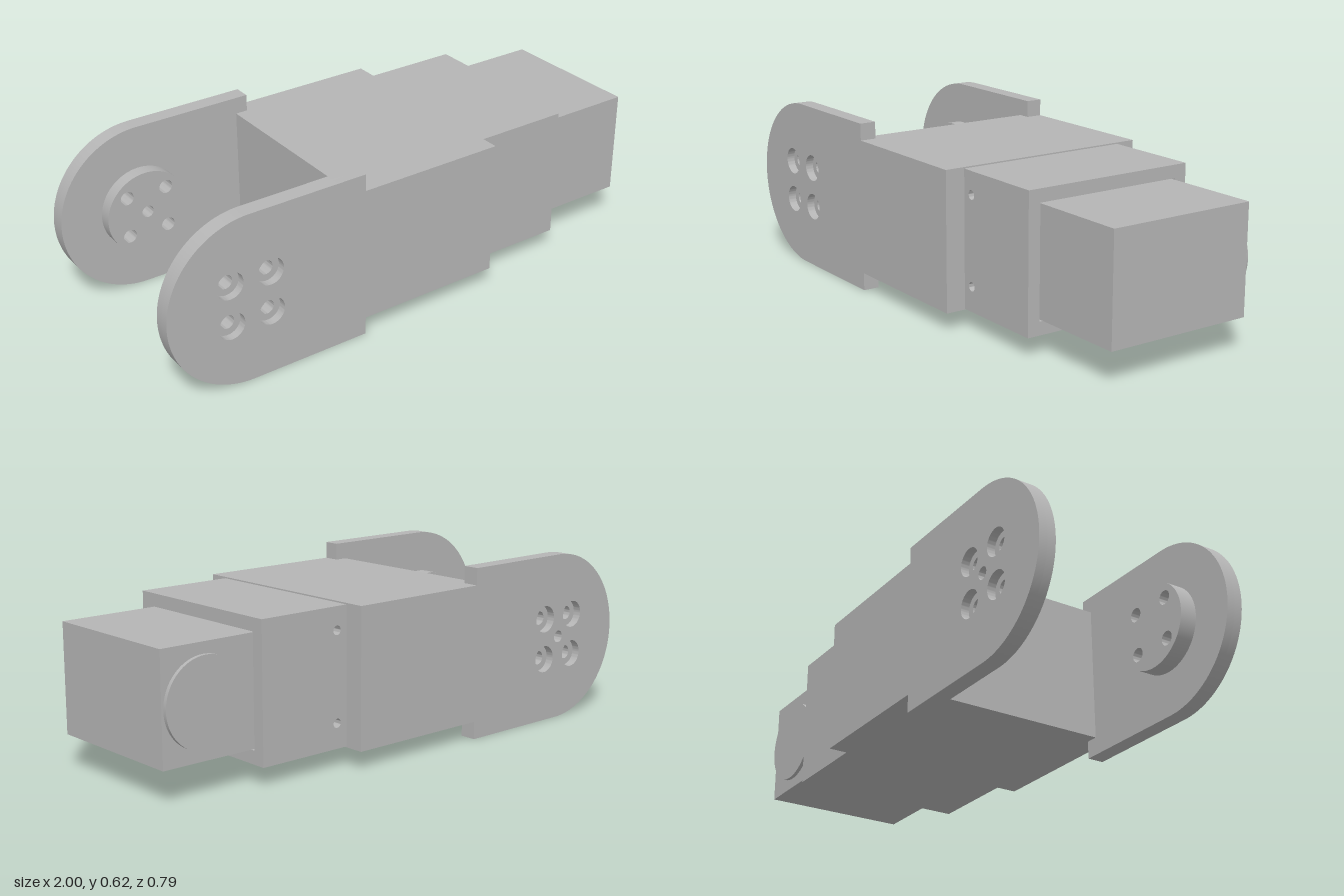
import * as THREE from 'three';
import { toCreasedNormals } from 'three/addons/utils/BufferGeometryUtils.js';

const CY = 0.308;           // shared mid height
const PIVOT_X = -0.695;     // hinge axis
const BOLTS = [[-0.075, -0.075], [0.075, -0.075], [0.075, 0.075], [-0.075, 0.075]]
  .map(([x, y]) => [PIVOT_X + x, CY + y]);

export function createModel() {
  const model = new THREE.Group();
  model.name = 'servoBracket';
  const grey = new THREE.MeshStandardMaterial({ color: 0xb5b5b5 });
  grey.name = 'grey';

  const add = (name, geometry) => {
    const mesh = new THREE.Mesh(geometry, grey);
    mesh.name = name;
    model.add(mesh);
    return mesh;
  };

  // Box given by its limits on each axis
  const box = (name, x0, x1, y0, y1, z0, z1) =>
    add(name, new THREE.BoxGeometry(x1 - x0, y1 - y0, z1 - z0))
      .position.set((x0 + x1) / 2, (y0 + y1) / 2, (z0 + z1) / 2);

  // Outline with round holes [x, y, r], extruded between two depths
  const slab = (name, shape, holes, za, zb) => {
    for (const [x, y, r] of holes) {
      shape.holes.push(new THREE.Path().absarc(x, y, r, 0, Math.PI * 2, true));
    }
    const z0 = Math.min(za, zb);
    const geometry = new THREE.ExtrudeGeometry(shape, {
      depth: Math.abs(zb - za), bevelEnabled: false, curveSegments: 40,
    });
    geometry.translate(0, 0, z0);
    add(name, toCreasedNormals(geometry, 0.6));
  };

  // Side outline: rounded fork arm stepping down to the body height
  const sideShape = () => {
    const s = new THREE.Shape();
    s.moveTo(0.295, 0.064);
    s.lineTo(0.295, 0.555);
    s.lineTo(-0.25, 0.555);
    s.lineTo(-0.25, 0.616);
    s.absarc(-0.692, CY, 0.308, Math.PI / 2, Math.PI * 1.5, false);
    s.lineTo(-0.25, 0);
    s.lineTo(-0.25, 0.064);
    s.closePath();
    return s;
  };

  const discShape = () => new THREE.Shape().absarc(PIVOT_X, CY, 0.153, 0, Math.PI * 2, false);

  const wallShape = () => {
    const s = new THREE.Shape();
    s.moveTo(0.295, 0.067);
    s.lineTo(0.65, 0.067);
    s.lineTo(0.65, 0.55);
    s.lineTo(0.295, 0.55);
    s.closePath();
    return s;
  };

  for (const side of [1, -1]) {
    const label = side > 0 ? 'front' : 'back';
    // Only the back arm has a centre hole
    const centre = side < 0 ? [[PIVOT_X, CY, 0.022]] : [];
    const wide = BOLTS.map(([x, y]) => [x, y, 0.049]).concat(centre);
    const narrow = BOLTS.map(([x, y]) => [x, y, 0.025]).concat(centre);

    // Fork arm in two layers, giving counterbored bolt holes
    slab(label + 'ArmOuter', sideShape(), wide, side * 0.396, side * 0.366);
    slab(label + 'ArmInner', sideShape(), narrow, side * 0.366, side * 0.336);

    // Hinge boss on the inner face
    slab(label + 'HingeBoss', discShape(), narrow, side * 0.336, side > 0 ? 0.273 : -0.287);

    // Sleeve side wall with two pin holes
    slab(label + 'SleeveWall', wallShape(),
      [[0.336, 0.155, 0.016], [0.336, 0.469, 0.016]], side * 0.324, side * 0.279);
  }

  // Body between the arms
  box('bodyCore', -0.295, 0.295, 0.064, 0.555, -0.336, 0.336);

  // Sleeve top and bottom, leaving a thin gap round the motor
  box('sleeveTop', 0.295, 0.65, 0.504, 0.55, -0.279, 0.279);
  box('sleeveBottom', 0.295, 0.65, 0.067, 0.114, -0.279, 0.279);

  // Motor block with a round cap on its back
  box('motorBlock', 0.295, 1, 0.118, 0.5, -0.273, 0.273);
  const cap = add('motorCap', new THREE.CylinderGeometry(0.153, 0.153, 0.014, 64));
  cap.rotation.x = Math.PI / 2;
  cap.position.set(0.84, CY, -0.28);

  return model;
}
